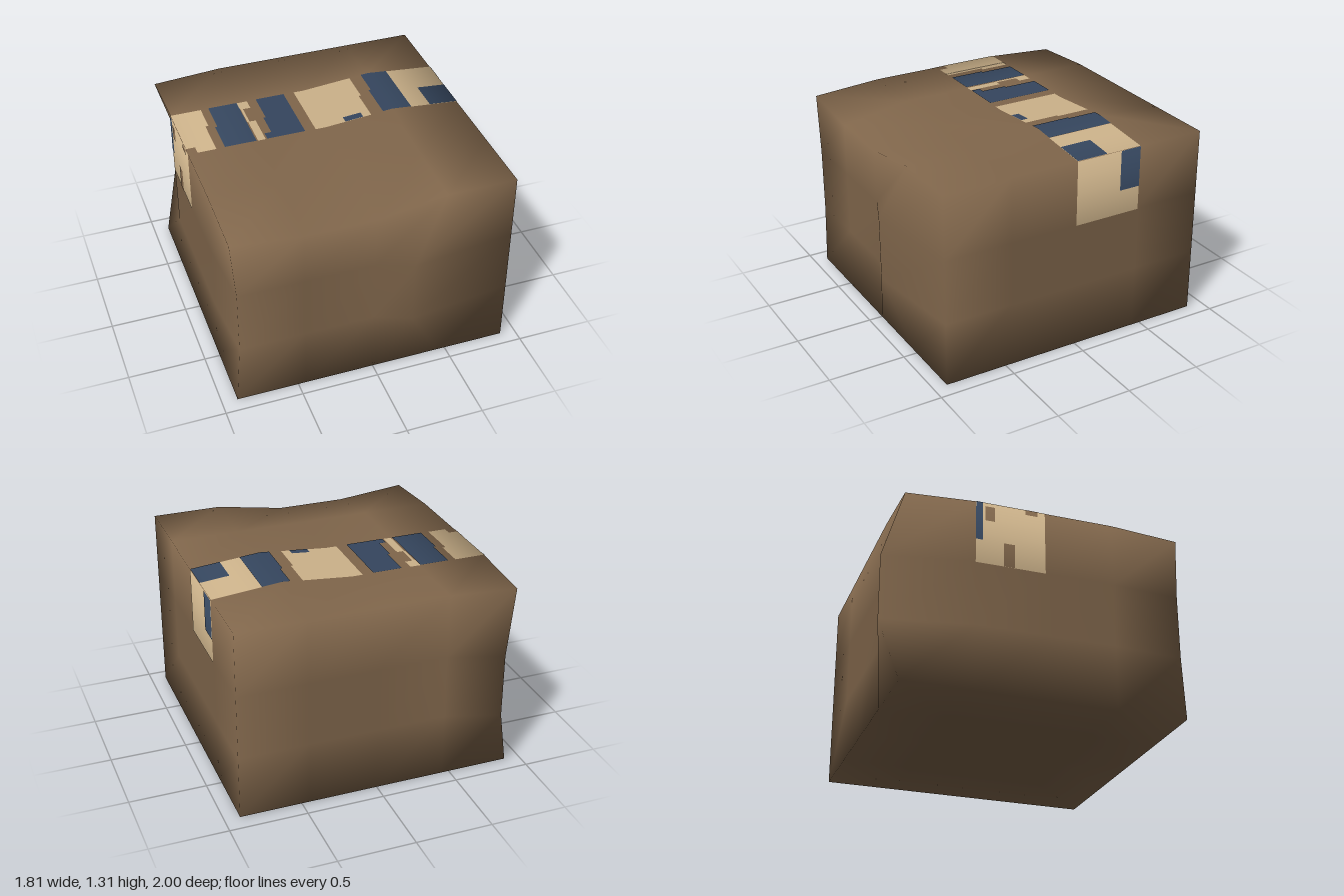
import * as THREE from 'three';
import { mergeVertices } from 'three/addons/utils/BufferGeometryUtils.js';

const W = 0.9, H = 1.265, D = 0.9, ZC = 0.01;
const cardboard = new THREE.MeshStandardMaterial({ color: 0x80664b, side: THREE.DoubleSide });
cardboard.name = 'cardboard';
const tan = new THREE.MeshStandardMaterial({ color: 0xccb28a, side: THREE.DoubleSide });
tan.name = 'tape tan';
const navy = new THREE.MeshStandardMaterial({ color: 0x35465e, side: THREE.DoubleSide });
navy.name = 'label navy';

const near = (a, b) => Math.abs(a - b) < 0.03;

// One closed, dented box with soft normals running over its edges
function buildCarton() {
  let geo = new THREE.BoxGeometry(2 * W, H, 2 * D, 4, 3, 4).translate(0, H / 2, 0);
  geo.deleteAttribute('normal');
  geo.deleteAttribute('uv');
  geo = mergeVertices(geo, 1e-3);
  const pos = geo.attributes.position;
  for (let i = 0; i < pos.count; i++) {
    let x = pos.getX(i), y = pos.getY(i), z = pos.getZ(i);
    const top = near(y, H), mid = !top && !near(y, 0);
    const front = near(z, D), back = near(z, -D), right = near(x, -W);
    if (mid && front && near(x, 0.45)) { x = 0.22; z += 0.09; }       // front bulge
    else if (mid && front && right) x += 0.03;                        // pressed front edge
    else if (mid && back && right) { x = -0.79; z -= 0.11; }          // bent back edge
    else if (top && right && (front || back)) y -= 0.03;              // worn corners
    else if (top && front && (near(x, -0.45) || near(x, 0))) y -= 0.075; // dented lid edge
    else if (top && near(x, 0.45) && (near(z, 0) || near(z, -0.45))) y += 0.04; // lid ridge
    pos.setXYZ(i, x, y, z + ZC);
  }
  geo.computeVertexNormals();
  const mesh = new THREE.Mesh(geo, cardboard);
  mesh.name = 'carton';
  return mesh;
}

// Height of the lid along the tape
const lidHeight = x => H + 0.04 * Math.max(0, 1 - Math.abs(x - 0.45) / 0.45);

// Soft normals that follow the carton: straight inside, diagonal at the box edge
function softenNormals(geo) {
  const p = geo.attributes.position, n = geo.attributes.normal, v = new THREE.Vector3();
  for (let i = 0; i < p.count; i++) {
    const side = Math.abs(n.getX(i)) > 0.7;
    const s = Math.sign(p.getX(i));
    const t = side ? THREE.MathUtils.clamp(1 - (H - p.getY(i)) / 0.42, 0, 1)
      : THREE.MathUtils.clamp((Math.abs(p.getX(i)) - 0.45) / 0.45, 0, 1);
    const k = Math.SQRT1_2 * t, m = 1 - t + k;
    v.set(side ? s * m : s * k, side ? k : m, 0).normalize();
    n.setXYZ(i, v.x, v.y, v.z);
  }
  return geo;
}

function patch(name, mat, geo) {
  const mesh = new THREE.Mesh(softenNormals(geo), mat);
  mesh.name = name;
  return mesh;
}

// Thin patch on the lid
function topPatch(name, mat, x0, x1, z0, z1, lift = 0.002) {
  const geo = new THREE.PlaneGeometry(x1 - x0, z1 - z0, 12, 1).rotateX(-Math.PI / 2)
    .translate((x0 + x1) / 2, 0, (z0 + z1) / 2);
  const p = geo.attributes.position;
  for (let i = 0; i < p.count; i++) p.setY(i, lidHeight(p.getX(i)) + lift);
  return patch(name, mat, geo);
}

// Thin patch on a side wall, s = +1 left, -1 right
function sidePatch(name, mat, s, z0, z1, y0, y1, lift = 0.002) {
  const geo = new THREE.PlaneGeometry(z1 - z0, y1 - y0, 1, 4).rotateY(s * Math.PI / 2)
    .translate(s * (W + lift), (y0 + y1) / 2, (z0 + z1) / 2);
  return patch(name, mat, geo);
}

export function createModel() {
  const model = new THREE.Group();
  model.name = 'cardboardBox';
  model.add(buildCarton());

  const A = -0.44, B = 0.01, OVER = 0.004;
  const tape = new THREE.Group();
  tape.name = 'tape';

  // tan pieces over the lid
  [[-0.9, -0.84, A, -0.05], [-0.84, -0.72, A, B], [-0.72, -0.7, A, -0.25],
   [-0.46, -0.39, A, -0.36], [-0.45, -0.4, -0.21, B], [-0.455, -0.44, -0.36, -0.21],
   [-0.07, 0.305, A, B], [0.305, 0.32, A, -0.22], [0.58, 0.9, A, B]]
    .forEach(r => tape.add(topPatch('tapeTop', tan, ...r)));

  // navy blocks over the lid
  [[-0.65, -0.46, A, B], [-0.665, -0.65, -0.22, B], [-0.33, -0.14, A, B],
   [-0.345, -0.33, -0.22, B], [-0.39, -0.345, -0.05, B], [0.13, 0.25, -0.04, B],
   [0.4, 0.58, A, B], [0.385, 0.4, -0.25, B], [0.71, 0.9, -0.2, B]]
    .forEach(r => tape.add(topPatch('tapeBlockTop', navy, ...r, OVER)));

  // left end
  tape.add(sidePatch('tapeLeft', tan, 1, A, B, 0.84, H));
  tape.add(sidePatch('tapeBlockLeft', navy, 1, A, -0.3, 1.0, H, OVER));

  // right end with worn notches
  tape.add(sidePatch('tapeRight', tan, -1, A, B, 0.84, H));
  tape.add(sidePatch('tapeBlockRight', navy, -1, A, -0.395, 1.0, H, OVER));
  [[-0.26, -0.19, 0.84, 1.0], [-0.38, -0.32, 1.14, 1.24], [-0.12, -0.04, 1.23, H]]
    .forEach(r => tape.add(sidePatch('tapeNotch', cardboard, -1, ...r, OVER)));

  model.add(tape);
  return model;
}
